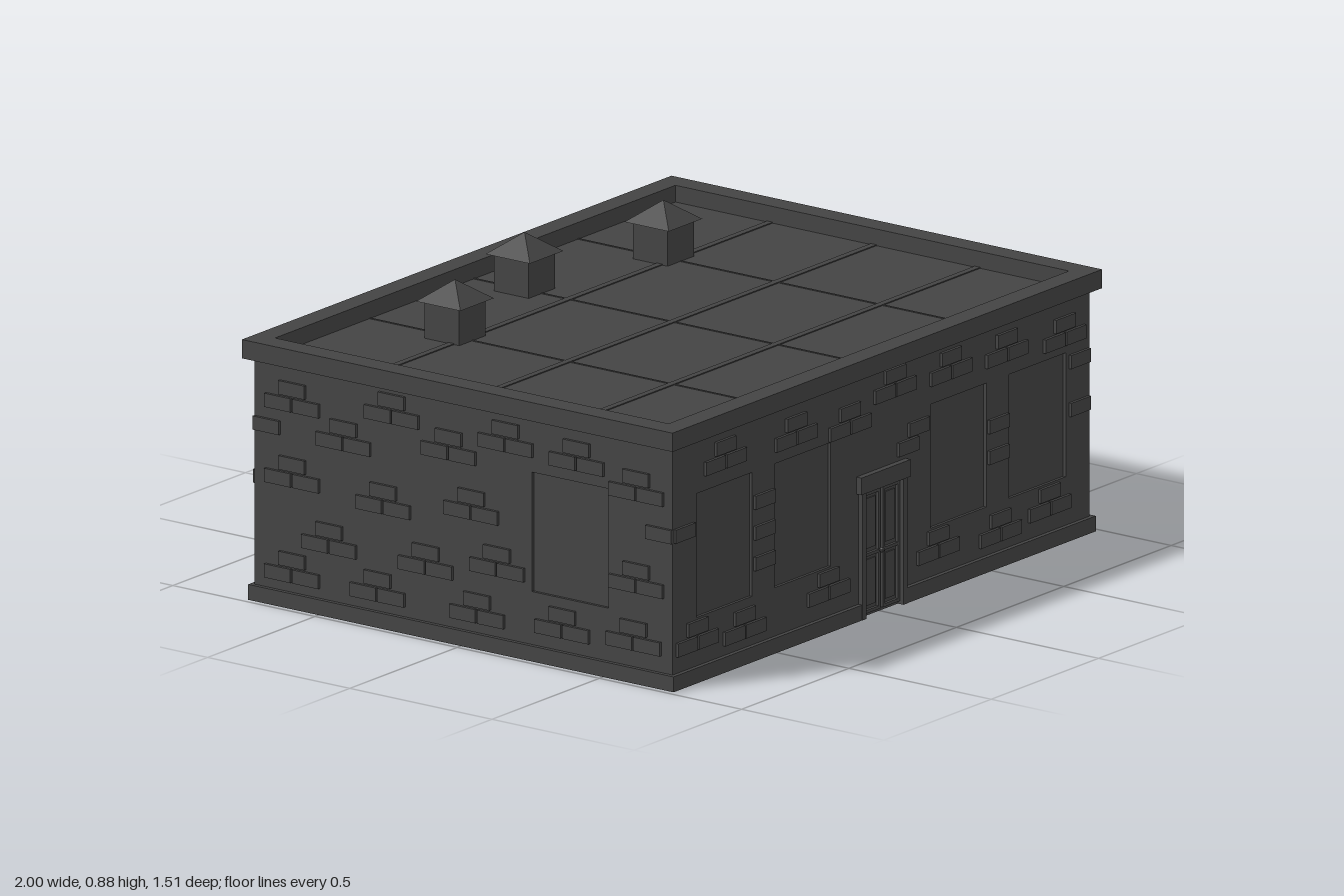
import * as THREE from 'three';

const mat = new THREE.MeshStandardMaterial({ color: 0x444444, flatShading: true, side: THREE.DoubleSide });

function add(parent, name, geo, x = 0, y = 0, z = 0) {
  const m = new THREE.Mesh(geo, mat);
  m.name = name;
  m.position.set(x, y, z);
  parent.add(m);
  return m;
}

// Box given by its limits on each axis
function block(parent, name, x0, x1, y0, y1, z0, z1) {
  return add(parent, name, new THREE.BoxGeometry(x1 - x0, y1 - y0, z1 - z0),
    (x0 + x1) / 2, (y0 + y1) / 2, (z0 + z1) / 2);
}

const path = (x0, x1, y0, y1, P = THREE.Path) => new P(
  [[x0, y0], [x1, y0], [x1, y1], [x0, y1]].map(p => new THREE.Vector2(...p)));

const WALL_H = 0.72, THICK = 0.014, BW = 0.092, BH = 0.04, GAP = 0.006;

// One wall: local x runs to the right as seen from outside, z = 0 is its outer face
function wall(root, name, { angle, dist, half, skirt, windows, bricks, door, singles = [] }) {
  const g = new THREE.Group();
  g.name = name;
  g.rotation.y = angle;
  g.position.set(Math.sin(angle) * dist, 0, Math.cos(angle) * dist);
  root.add(g);

  // Wall sheet, notched at the door and pierced by the windows
  const pts = [[-half, 0]];
  if (door) pts.push([door[0], 0], [door[0], door[2]], [door[1], door[2]], [door[1], 0]);
  pts.push([half, 0], [half, WALL_H], [-half, WALL_H]);
  const shape = new THREE.Shape(pts.map(p => new THREE.Vector2(...p)));
  for (const w of windows) shape.holes.push(path(...w));
  add(g, 'wallSheet', new THREE.ExtrudeGeometry(shape, { depth: THICK, bevelEnabled: false }), 0, 0, -THICK);
  for (const [a, b, c, d] of windows) block(g, 'windowPane', a, b, c, d, -THICK - 0.002, -0.009);

  // Skirting, interrupted by the door
  const runs = door ? [[-skirt, door[0] - 0.015], [door[1] + 0.015, skirt]] : [[-skirt, skirt]];
  for (const [a, b] of runs) block(g, 'skirting', a, b, 0, 0.045, -THICK - 0.004, 0.013);

  // Raised bricks in groups of three: one above two
  const blocked = door ? [...windows, [door[0] - 0.03, door[1] + 0.03, 0, door[2] + 0.06]] : windows;
  const brick = (u, y) => {
    const hit = blocked.some(([a, b, c, d]) =>
      u + BW / 2 > a && u - BW / 2 < b && y + BH / 2 > c && y - BH / 2 < d);
    if (hit || Math.abs(u) + BW / 2 > half + 0.012) return;
    block(g, 'brick', u - BW / 2, u + BW / 2, y - BH / 2, y + BH / 2, -THICK - 0.009, 0.009);
  };
  for (const [u, y] of bricks) {
    const s = (BW + GAP) / 2;
    brick(u, y);
    brick(u - s, y - BH - GAP);
    brick(u + s, y - BH - GAP);
  }
  for (const [u, y] of singles) brick(u, y);
  return g;
}

// Surround, panelled leaves and knobs for a door opening
function doorSet(g, [x0, x1, top], leaves) {
  const d = new THREE.Group();
  d.name = 'door';
  g.add(d);
  for (const [a, b] of [[x0 - 0.015, x0 + 0.004], [x1 - 0.004, x1 + 0.015]])
    block(d, 'doorJamb', a, b, 0, top + 0.005, -THICK, 0.014);
  block(d, 'doorHeader', x0 - 0.025, x1 + 0.025, top, top + 0.05, -THICK, 0.018);
  block(d, 'doorLeaf', x0, x1, 0, top, -0.016, -0.006);
  const w = (x1 - x0) / leaves;
  for (let i = 0; i < leaves; i++) {
    const a = x0 + i * w + 0.006, b = x0 + (i + 1) * w - 0.006, t = 0.009;
    // Stiles and rails leave two sunken panels
    for (const x of [a, b - t]) block(d, 'doorStile', x, x + t, 0.01, top - 0.006, -0.008, 0.003);
    for (const y of [0.01, top / 2 - t, top - 0.006 - t])
      block(d, 'doorRail', a, b, y, y + t, -0.008, 0.003);
    for (const [c, e] of [[0.03, top / 2 - 0.02], [top / 2 + 0.012, top - 0.026]])
      block(d, 'doorPanel', a + t + 0.008, b - t - 0.008, c, e, -0.008, -0.002);
  }
  add(d, 'doorKnob', new THREE.SphereGeometry(0.008, 8, 6), x0 + (leaves > 1 ? w - 0.012 : 0.03), top / 2, 0.012);
}

export function createModel() {
  const root = new THREE.Group();
  root.name = 'building';

  // Front
  const frontDoor = [-0.09, 0.09, 0.37];
  const front = wall(root, 'frontWall', {
    angle: 0, dist: 0.735, half: 0.97, skirt: 0.983, door: frontDoor,
    windows: [[-0.86, -0.6], [-0.495, -0.235], [0.23, 0.49], [0.595, 0.86]].map(w => [...w, 0.187, 0.55]),
    bricks: [[-0.73, 0.66], [-0.4, 0.65], [-0.15, 0.62], [0.06, 0.68], [0.32, 0.67], [0.58, 0.66], [0.85, 0.64],
      [-0.64, 0.14], [-0.25, 0.16], [0.26, 0.16], [0.55, 0.14], [0.78, 0.16], [-0.86, 0.16], [-0.16, 0.35], [0.17, 0.5]],
    singles: [[-0.547, 0.46], [-0.547, 0.37], [-0.547, 0.28], [0.542, 0.42], [0.542, 0.33], [-0.92, 0.45], [0.92, 0.38], [0.92, 0.52]],
  });
  doorSet(front, frontDoor, 2);

  // Back
  const backDoor = [-0.69, -0.5, 0.37];
  const back = wall(root, 'backWall', {
    angle: Math.PI, dist: 0.735, half: 0.97, skirt: 0.983, door: backDoor,
    windows: [[-0.86, -0.59], [-0.14, 0.14], [0.59, 0.86]].map(w => [...w, 0.48, 0.67]),
    bricks: [[-0.26, 0.63], [-0.38, 0.45], [-0.13, 0.38], [0.28, 0.62], [0.46, 0.53], [0.28, 0.34], [0.03, 0.2],
      [-0.26, 0.2], [0.45, 0.16], [0.75, 0.2], [-0.83, 0.32], [0.69, 0.42], [-0.84, 0.15], [-0.43, 0.66], [0.1, 0.44], [0.52, 0.31]],
    singles: [[-0.92, 0.55], [0.92, 0.36]],
  });
  doorSet(back, backDoor, 1);

  // Sides
  const side = { dist: 0.97, half: 0.733, skirt: 0.747 };
  wall(root, 'leftWall', {
    ...side, angle: Math.PI / 2,
    windows: [[-0.645, -0.35, 0.22, 0.545], [-0.14, 0.13, 0.48, 0.67], [0.345, 0.605, 0.19, 0.55]],
    bricks: [[-0.415, 0.625], [-0.253, 0.68], [-0.21, 0.477], [-0.012, 0.425], [0.21, 0.48], [0.275, 0.68], [0.31, 0.63],
      [0.47, 0.63], [-0.123, 0.25], [0.225, 0.262], [-0.347, 0.167], [-0.008, 0.147], [0.43, 0.143], [0.637, 0.158], [0.685, 0.473]],
    singles: [[-0.68, 0.672], [-0.69, 0.44], [0.61, 0.584], [0.69, 0.38]],
  });
  wall(root, 'rightWall', {
    ...side, angle: -Math.PI / 2,
    windows: [[0.24, 0.51, 0.2, 0.55]],
    bricks: [[-0.6, 0.64], [-0.42, 0.56], [-0.25, 0.67], [-0.05, 0.6], [0.15, 0.66], [0.4, 0.65], [0.61, 0.6], [-0.6, 0.42],
      [-0.28, 0.4], [0.03, 0.44], [0.12, 0.29], [-0.13, 0.25], [-0.47, 0.25], [0.61, 0.33], [-0.6, 0.14], [-0.3, 0.14], [0.05, 0.14], [0.35, 0.15], [0.6, 0.16]],
    singles: [[-0.69, 0.52], [0.69, 0.45]],
  });

  // Cornice ring and sunken roof deck
  const ring = path(-1, 1, -0.757, 0.757, THREE.Shape);
  ring.holes.push(path(-0.932, 0.932, -0.692, 0.692));
  add(root, 'cornice', new THREE.ExtrudeGeometry(ring, { depth: 0.055, bevelEnabled: false }), 0, 0.71)
    .rotation.x = -Math.PI / 2;
  block(root, 'roofDeck', -0.96, 0.96, 0.704, 0.716, -0.725, 0.725);
  for (const x of [-0.49, -0.005, 0.48]) block(root, 'roofSeam', x - 0.003, x + 0.003, 0.715, 0.718, -0.692, 0.692);
  for (const z of [-0.36, 0.005, 0.37]) block(root, 'roofLap', -0.932, 0.932, 0.715, 0.719, z - 0.01, z + 0.01);

  // Roof vents with pyramid caps
  for (const [x, z] of [[-0.49, -0.393], [-0.005, -0.515], [0.48, -0.393]]) {
    block(root, 'ventBody', x - 0.061, x + 0.061, 0.71, 0.827, z - 0.061, z + 0.061);
    const cap = new THREE.ConeGeometry(0.078 * Math.SQRT2, 0.06, 4).rotateY(Math.PI / 4);
    add(root, 'ventCap', cap, x, 0.855, z);
  }
  return root;
}
